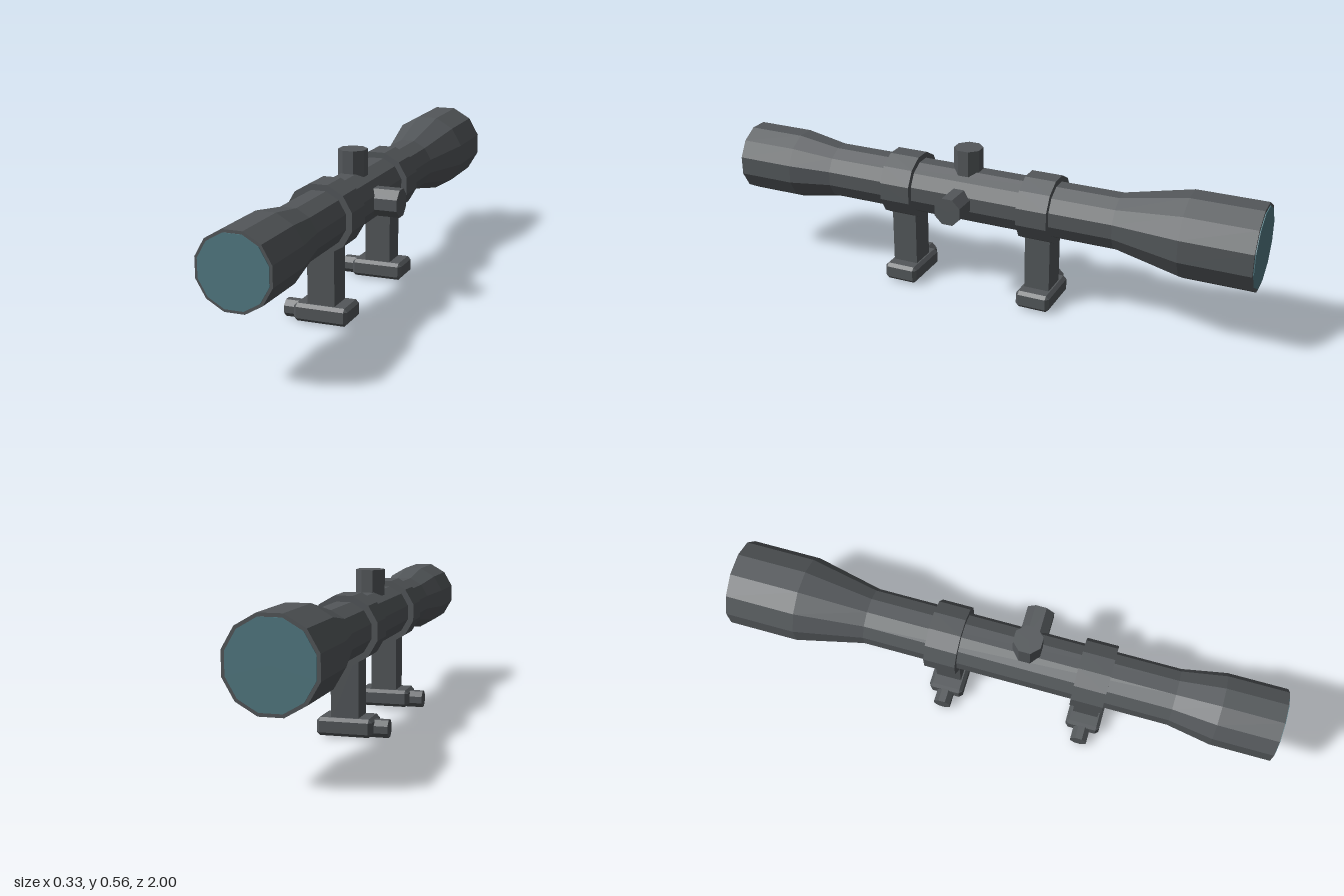
import * as THREE from 'three';
import { ConvexGeometry } from 'three/addons/geometries/ConvexGeometry.js';

const CX = -0.017; // tube axis
const CY = 0.379;

// Box with every edge cut by a single bevel
function chamferBox(w, h, d, c) {
  const half = [w / 2, h / 2, d / 2];
  const pts = [];
  for (let axis = 0; axis < 3; axis++)
    for (const sx of [-1, 1]) for (const sy of [-1, 1]) for (const sz of [-1, 1]) {
      const p = [sx, sy, sz].map((s, i) => s * (half[i] - (i === axis ? 0 : c)));
      pts.push(new THREE.Vector3(...p));
    }
  return new ConvexGeometry(pts);
}

// Prism along y with flats facing the axes
function prism(radius, length, sides) {
  return new THREE.CylinderGeometry(radius, radius, length, sides).rotateY(Math.PI / sides);
}

export function createModel() {
  const metal = new THREE.MeshStandardMaterial({ color: 0x53575a, flatShading: true });
  metal.name = 'dark grey metal';
  const glass = new THREE.MeshStandardMaterial({ color: 0x527a83, flatShading: true });
  glass.name = 'teal glass';

  const model = new THREE.Group();
  model.name = 'scope';
  const add = (name, geometry, material, x, y, z, parent = model) => {
    const mesh = new THREE.Mesh(geometry, material);
    mesh.name = name;
    mesh.position.set(x, y, z);
    parent.add(mesh);
    return mesh;
  };

  // Main tube with flared ends
  const profile = [
    [0, -0.997], [0.155, -0.997], [0.155, -0.745], [0.102, -0.5],
    [0.102, 0.62], [0.13, 0.78], [0.13, 0.997], [0, 0.997],
  ].map(([r, y]) => new THREE.Vector2(r, y));
  const tube = new THREE.LatheGeometry(profile, 12, Math.PI / 12).rotateX(Math.PI / 2);
  add('tube', tube, metal, CX, CY, 0);

  // Lenses
  add('frontLens', prism(0.12, 0.006, 12).rotateX(Math.PI / 2), glass, CX, CY, 0.997);
  add('backLens', prism(0.143, 0.006, 12).rotateX(Math.PI / 2), glass, CX, CY, -0.997);

  // Adjustment turrets
  add('topTurret', prism(0.0535, 0.13, 8), metal, CX, 0.495, 0.083);
  add('sideTurret', prism(0.0535, 0.13, 8).rotateZ(Math.PI / 2), metal, 0.102, 0.378, 0.083);

  // Mounts: ring, post, clamp foot and bolt
  for (const [name, z] of [['frontMount', 0.33], ['backMount', -0.21]]) {
    const mount = new THREE.Group();
    mount.name = name;
    mount.position.z = z;
    model.add(mount);
    add('ring', prism(0.124, 0.116, 12).rotateX(Math.PI / 2), metal, CX, CY, 0, mount);
    add('post', new THREE.BoxGeometry(0.1, 0.25, 0.096), metal, CX, 0.185, 0, mount);
    add('foot', chamferBox(0.2, 0.065, 0.13, 0.012), metal, CX, 0.038, 0, mount);
    add('bolt', prism(0.0335, 0.07, 8).rotateZ(Math.PI / 2), metal, -0.131, 0.031, 0, mount);
  }
  return model;
}
